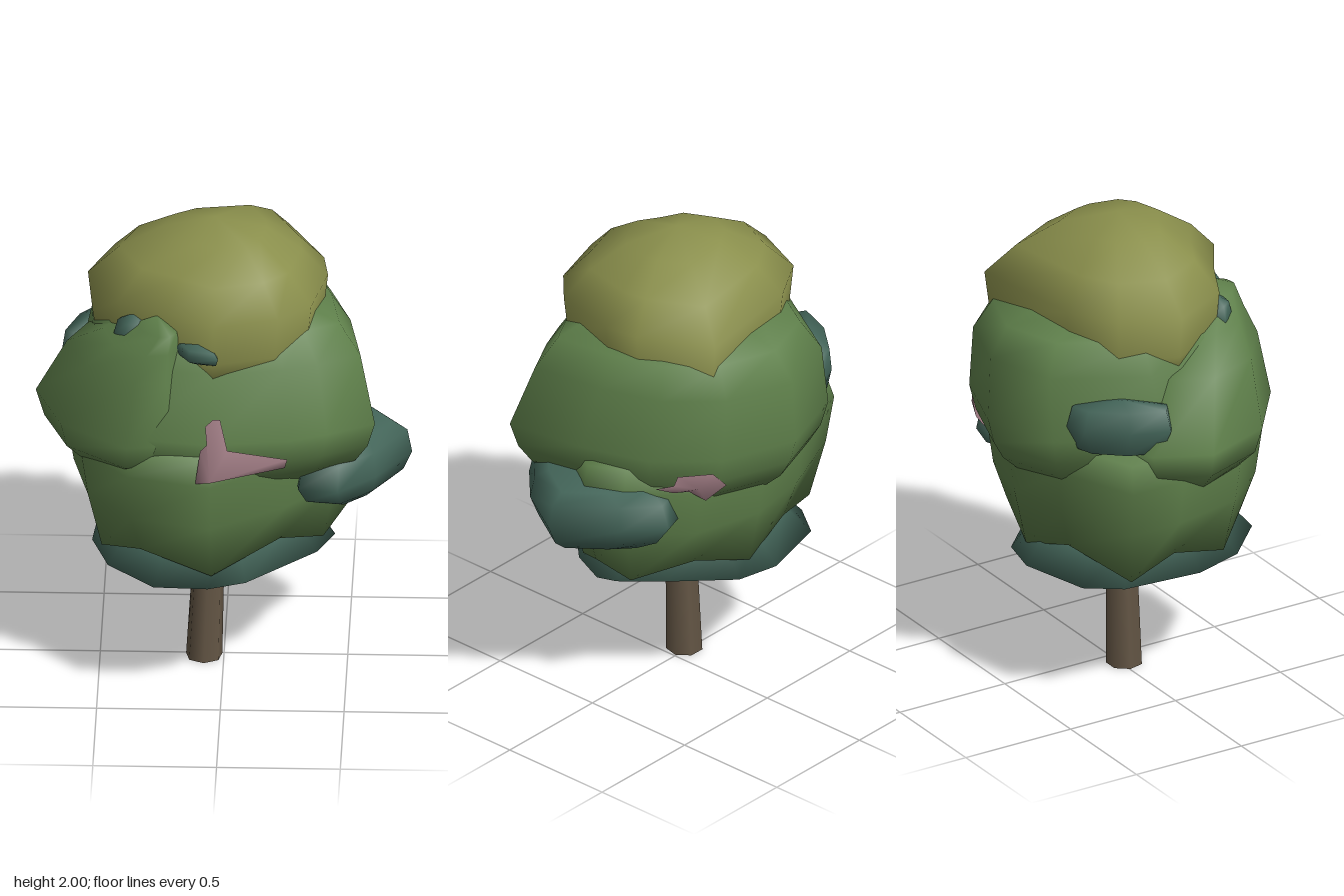
import * as THREE from 'three';

const mat = (name, color, side = THREE.FrontSide) => {
  const m = new THREE.MeshStandardMaterial({ color, side });
  m.name = name;
  return m;
};

// Smooth closed clump: a plan outline [x, z] repeated at levels [y, scale, dx, dz, zigzag], closed by a point at each end.
function loft(outline, bottomY, levels, topY) {
  const xs = outline.map(p => p[0]), zs = outline.map(p => p[1]);
  const cx = (Math.min(...xs) + Math.max(...xs)) / 2;
  const cz = (Math.min(...zs) + Math.max(...zs)) / 2;
  const n = outline.length, pos = [], idx = [];
  for (const [y, s, dx = 0, dz = 0, zig = 0] of levels)
    outline.forEach(([x, z], j) =>
      pos.push(cx + (x - cx) * s + dx, y + (j % 2 ? -zig : zig), cz + (z - cz) * s + dz));
  const last = levels.length - 1, bottom = n * levels.length, top = bottom + 1;
  const [, , dx = 0, dz = 0] = levels[last];
  pos.push(cx, bottomY, cz, cx + dx, topY, cz + dz);
  for (let j = 0; j < n; j++) {
    const k = (j + 1) % n;
    idx.push(bottom, j, k, top, last * n + k, last * n + j);
    for (let i = 0; i < last; i++) {
      const a = i * n + j, b = i * n + k;
      idx.push(a, a + n, b, b, a + n, b + n);
    }
  }
  return indexed(pos, idx);
}

// Shallow fan of triangles from a raised centre to a rim
const fan = (centre, rim) => indexed([...centre, ...rim.flat()],
  rim.flatMap((_, i) => [0, i + 1, (i + 1) % rim.length + 1]));

function indexed(pos, idx) {
  const g = new THREE.BufferGeometry();
  g.setAttribute('position', new THREE.Float32BufferAttribute(pos, 3));
  g.setIndex(idx);
  g.computeVertexNormals();
  return g;
}

// Slightly irregular round outline
const round = (cx, cz, rx, rz, n) => Array.from({ length: n }, (_, i) => {
  const a = i / n * Math.PI * 2, r = 1 + 0.04 * Math.sin(i * 2.4);
  return [cx + Math.cos(a) * rx * r, cz + Math.sin(a) * rz * r];
});

export function createModel() {
  const tree = new THREE.Group();
  tree.name = 'tree';
  const bark = mat('bark', 0x645645);
  const green = mat('leafGreen', 0x5e7f4a);
  const yellow = mat('leafYellow', 0x8a8f4c);
  const blue = mat('leafBlue', 0x44665a);
  const pink = mat('blossomPink', 0xa07c84, THREE.DoubleSide);
  const add = (name, geometry, material) => {
    const m = new THREE.Mesh(geometry, material);
    m.name = name;
    tree.add(m);
  };

  // Leaning trunk
  const trunk = new THREE.CylinderGeometry(0.06, 0.075, 0.7, 7);
  trunk.translate(0, 0.35, 0);
  const p = trunk.attributes.position;
  for (let i = 0; i < p.count; i++) p.setX(i, p.getX(i) + p.getY(i) * 0.04);
  trunk.translate(-0.08, 0, 0.02);
  add('trunk', trunk, bark);

  // Dark skirt under the crown
  add('skirt', loft([[0.45, 0.02], [0.38, 0.18], [0.1, 0.46], [-0.05, 0.52], [-0.27, 0.51], [-0.46, 0.32],
    [-0.53, 0.1], [-0.5, -0.24], [-0.4, -0.38], [-0.1, -0.46], [0.08, -0.42], [0.3, -0.2], [0.42, -0.06]], 0.5,
    [[0.485, 0.5], [0.56, 1], [0.69, 0.78]], 0.71), blue);

  // Main green crown
  add('lowerCrown', loft([[0.6, -0.04], [0.48, 0.15], [0.28, 0.36], [-0.04, 0.58], [-0.38, 0.49], [-0.57, 0.27],
    [-0.64, -0.05], [-0.64, -0.29], [-0.3, -0.43], [0, -0.48], [0.3, -0.4], [0.52, -0.19]], 0.68,
    [[0.65, 0.85, 0, 0, 0.04], [0.85, 0.95], [1.05, 1], [1.16, 0.95], [1.23, 0.6]], 1.26), green);
  add('middleCrown', loft([[0.565, 0], [0.62, 0.34], [0.43, 0.44], [0.28, 0.5], [-0.04, 0.55], [-0.38, 0.5],
    [-0.58, 0.25], [-0.6, -0.1], [-0.37, -0.5], [-0.05, -0.61], [0.27, -0.5], [0.47, -0.28]], 0.9,
    [[0.92, 0.65], [1.04, 0.87], [1.12, 0.95], [1.23, 1], [1.5, 0.9, 0, -0.045], [1.62, 0.76, 0, -0.04],
      [1.68, 0.5]], 1.69), green);

  // Side clump leaning up over the front of the cap
  add('sideClump', loft([[-0.08, 0.1], [-0.1, 0.35], [-0.2, 0.5], [-0.38, 0.53], [-0.65, 0.32], [-0.76, 0.02],
    [-0.65, -0.2], [-0.4, -0.28], [-0.15, -0.15]], 0.94,
    [[0.97, 0.5], [1.09, 0.9], [1.2, 1], [1.47, 0.74, 0.04, 0.06], [1.58, 0.48, 0.1, 0.13],
      [1.66, 0.25, 0.16, 0.21]], 1.71), green);

  // Green shoulders overlapping the cap
  for (const [name, x, z, rx, rz, top] of [['backShoulder', -0.08, -0.38, 0.26, 0.14, 1.64],
    ['leftShoulder', 0.28, 0.03, 0.18, 0.28, 1.69]])
    add(name, loft(round(x, z, rx, rz, 8), top - 0.5,
      [[top - 0.42, 0.8], [top - 0.25, 1], [top - 0.1, 0.78], [top - 0.03, 0.38]], top), green);

  // Yellow cap
  add('cap', loft([[0.42, 0], [0.36, 0.28], [0.23, 0.4], [-0.03, 0.48], [-0.22, 0.36], [-0.42, 0.26],
    [-0.55, 0], [-0.45, -0.24], [-0.25, -0.36], [0.25, -0.44], [0.4, -0.15]], 1.4,
    [[1.45, 0.93], [1.55, 0.96], [1.73, 1], [1.85, 0.76, 0.01], [1.95, 0.43, 0.03]], 2), yellow);

  // Blue-green clumps
  add('leftClump', loft([[0.76, 0], [0.62, 0.23], [0.47, 0.37], [0.31, 0.35], [0.28, 0], [0.35, -0.33],
    [0.44, -0.36], [0.58, -0.23]], 0.785,
    [[0.8, 0.6], [0.85, 0.85], [0.93, 1], [1.03, 0.92], [1.07, 0.68]], 1.085), blue);
  add('backClump', loft([[-0.37, -0.38], [-0.42, -0.2], [-0.6, -0.08], [-0.66, -0.12], [-0.6, -0.28],
    [-0.48, -0.42], [-0.39, -0.45]], 1.18, [[1.2, 0.8], [1.3, 1], [1.39, 0.9]], 1.42), blue);
  add('upperTuft', loft(round(-0.355, 0.28, 0.08, 0.07, 6), 1.5,
    [[1.54, 0.8], [1.6, 1], [1.66, 0.8]], 1.69), blue);
  add('frontTuft', loft([[-0.01, 0.49], [-0.13, 0.46], [-0.18, 0.38], [-0.03, 0.38]], 1.54,
    [[1.56, 0.9], [1.59, 1], [1.61, 0.85]], 1.63), blue);

  // Front blossom
  add('frontBlossom', fan([-0.04, 1.09, 0.61], [[-0.1, 1.06, 0.56], [0.1, 1.08, 0.51], [0.26, 1.1, 0.485],
    [0.27, 1.14, 0.49], [0.03, 1.21, 0.555], [0, 1.34, 0.535], [-0.03, 1.34, 0.535], [-0.06, 1.31, 0.54],
    [-0.05, 1.24, 0.56], [-0.08, 1.21, 0.56]]), pink);

  // Back blossom, lying on the slanted side of the crown
  const slanted = ([z, y]) => [0.46 + 1.25 * (z + 0.31) + (y - 1.1) * 0.5, y, z];
  const [cx, cy, cz] = slanted([-0.42, 1.11]);
  add('backBlossom', fan([cx + 0.02, cy, cz - 0.02], [[-0.31, 1.11], [-0.36, 1.12], [-0.38, 1.17], [-0.47, 1.17],
    [-0.49, 1.1], [-0.42, 1.02], [-0.39, 1.08], [-0.35, 1.08]].map(slanted).reverse()), pink);

  return tree;
}
